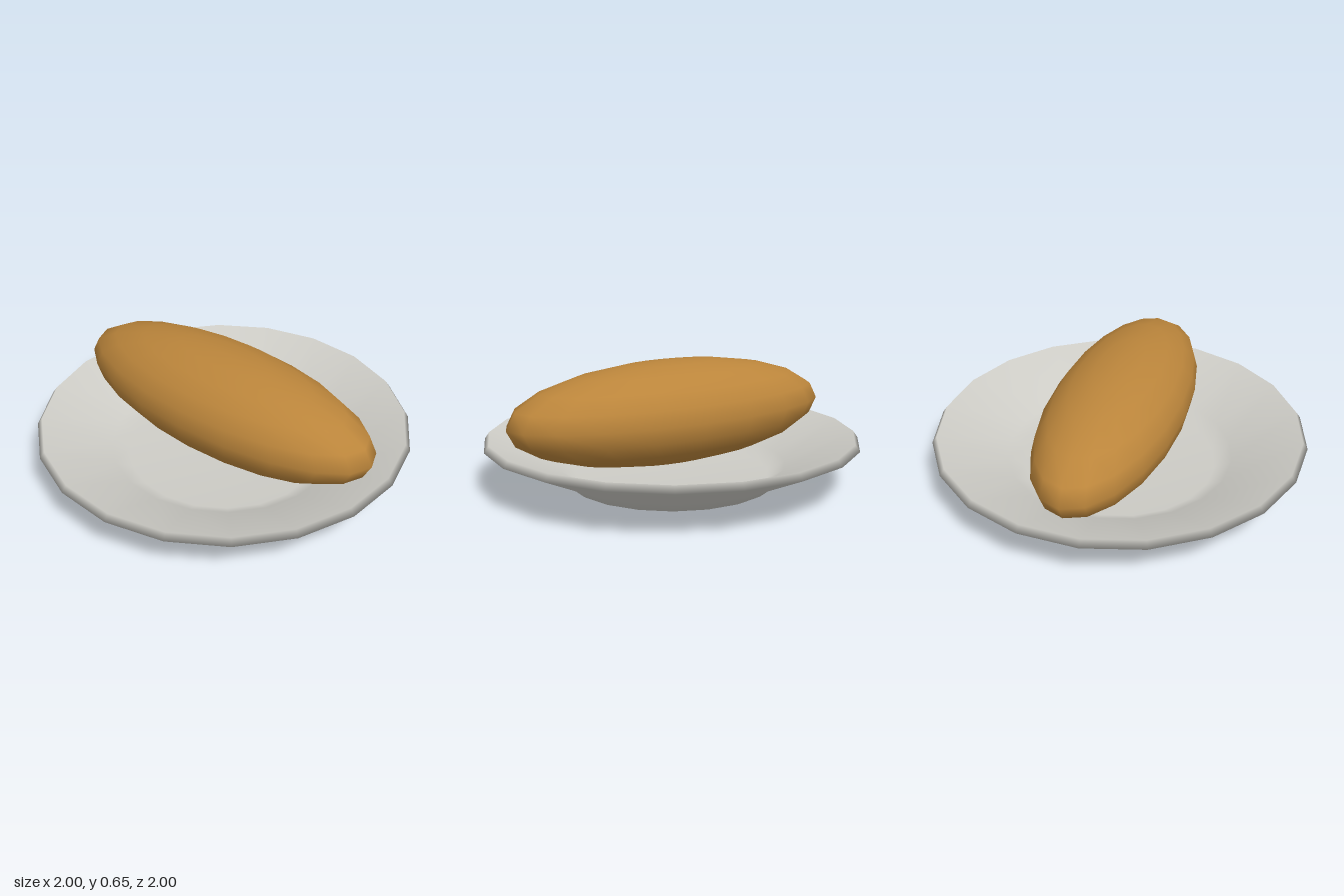
import * as THREE from 'three';

const SIDES = 20;

export function createModel() {
  const model = new THREE.Group();
  model.name = 'loafOnPlate';

  // Plate: closed turned profile, underside -> rim -> inner dish
  const profile = [
    [0, 0], [0.55, 0], [0.62, 0.055], [1, 0.23], [0.975, 0.265],
    [0.61, 0.1], [0.52, 0.05], [0, 0.05],
  ].map(([r, y]) => new THREE.Vector2(r, y));
  const plate = new THREE.Mesh(
    new THREE.LatheGeometry(profile, SIDES),
    new THREE.MeshStandardMaterial({ color: 0xcdccc6 }),
  );
  plate.name = 'plate';
  model.add(plate);

  // Loaf: stretched sphere, turned slightly across the plate
  const loaf = new THREE.Mesh(
    new THREE.SphereGeometry(1, SIDES, 10),
    new THREE.MeshStandardMaterial({ color: 0xbb853b }),
  );
  loaf.name = 'loaf';
  loaf.scale.set(0.932, 0.275, 0.357);
  loaf.rotation.y = 0.2;
  loaf.position.y = 0.38;
  model.add(loaf);

  return model;
}
